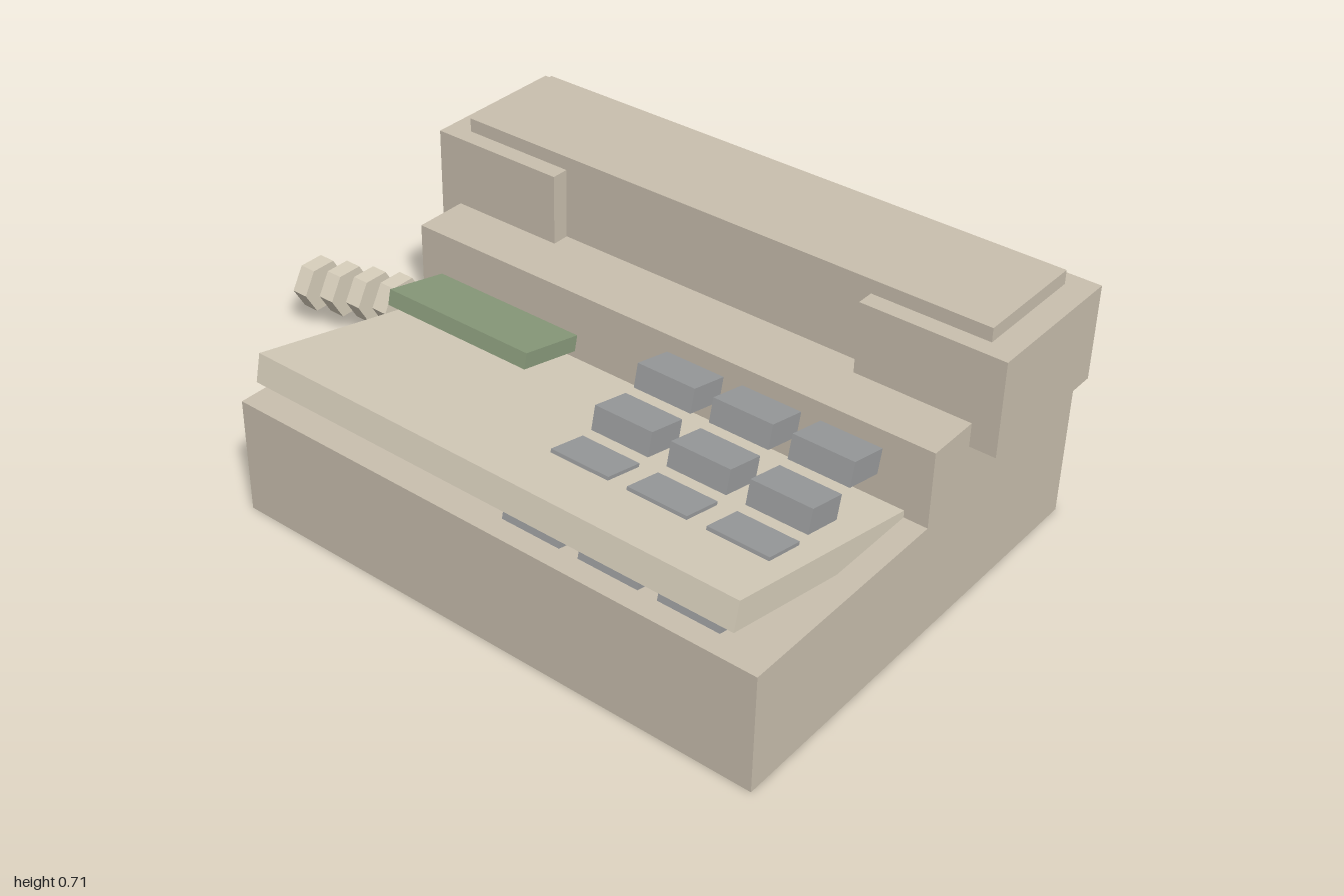
import * as THREE from 'three';

export function createModel() {
  const model = new THREE.Group();
  model.name = 'deskTelephone';

  const paint = (color) => new THREE.MeshStandardMaterial({ color, flatShading: true });
  const body = paint(0xc9bfae);
  const cream = paint(0xd8cfbc);
  const grey = paint(0x9a9c9d);
  const green = paint(0x8a9c7c);
  const red = paint(0xb84a40);
  const TILT = -0.22; // slope of the key panel, front edge raised

  function box(parent, name, material, size, position, tilt = 0) {
    const mesh = new THREE.Mesh(new THREE.BoxGeometry(...size), material);
    mesh.name = name;
    mesh.position.set(...position);
    mesh.rotation.x = tilt;
    parent.add(mesh);
    return mesh;
  }

  // Stepped housing: low front, taller back, as one side profile swept along x
  const profile = new THREE.Shape([
    [-0.605, 0], [0.605, 0], [0.605, 0.5], [0, 0.5], [0, 0.305], [-0.605, 0.305],
  ].map(([x, y]) => new THREE.Vector2(x, y)));
  const housingGeometry = new THREE.ExtrudeGeometry(profile, { depth: 1.455, bevelEnabled: false });
  housingGeometry.translate(0, 0, -0.7275);
  housingGeometry.rotateY(Math.PI / 2); // profile x becomes -z
  const housing = new THREE.Mesh(housingGeometry, body);
  housing.name = 'housing';
  housing.position.x = 0.2075;
  model.add(housing);

  // Handset: grip with an end block on each side
  const handset = new THREE.Group();
  handset.name = 'handset';
  handset.position.set(0.21, 0, -0.335);
  model.add(handset);
  box(handset, 'grip', body, [1.455, 0.235, 0.3], [-0.0025, 0.5975, 0]);
  for (const side of [-1, 1]) {
    box(handset, side < 0 ? 'earpiece' : 'mouthpiece', body,
      [0.363, 0.24, 0.39], [side * 0.6085, 0.56, 0]);
  }

  // Sloping panel with display and indicator
  box(model, 'keyPanel', cream, [1.335, 0.072, 0.65], [0.2075, 0.349, 0.281], TILT);
  box(model, 'display', green, [0.425, 0.04, 0.18], [-0.2175, 0.412, 0.12], TILT);
  box(model, 'indicator', red, [0.16, 0.03, 0.1], [-0.25, 0.353, 0.459], TILT);

  // Keypad: four rows of three keys
  const keypad = new THREE.Group();
  keypad.name = 'keypad';
  model.add(keypad);
  for (let row = 0; row < 4; row++) {
    for (let col = 0; col < 3; col++) {
      box(keypad, 'key', grey, [0.157, 0.06, 0.107],
        [0.328 + col * 0.207, 0.453 - row * 0.0345, 0.078 + row * 0.146], TILT);
    }
  }

  // Coiled cord: a row of separate six-sided rings
  const cord = new THREE.Group();
  cord.name = 'coiledCord';
  model.add(cord);
  const coilGeometry = new THREE.CylinderGeometry(0.07, 0.07, 0.046, 6);
  coilGeometry.rotateZ(Math.PI / 2);
  for (let i = 0; i < 6; i++) {
    const coil = new THREE.Mesh(coilGeometry, cream);
    coil.name = 'cordCoil';
    coil.position.set(-0.977 + i * 0.073, 0.125, -0.067 - i * 0.0238);
    cord.add(coil);
  }

  return model;
}
